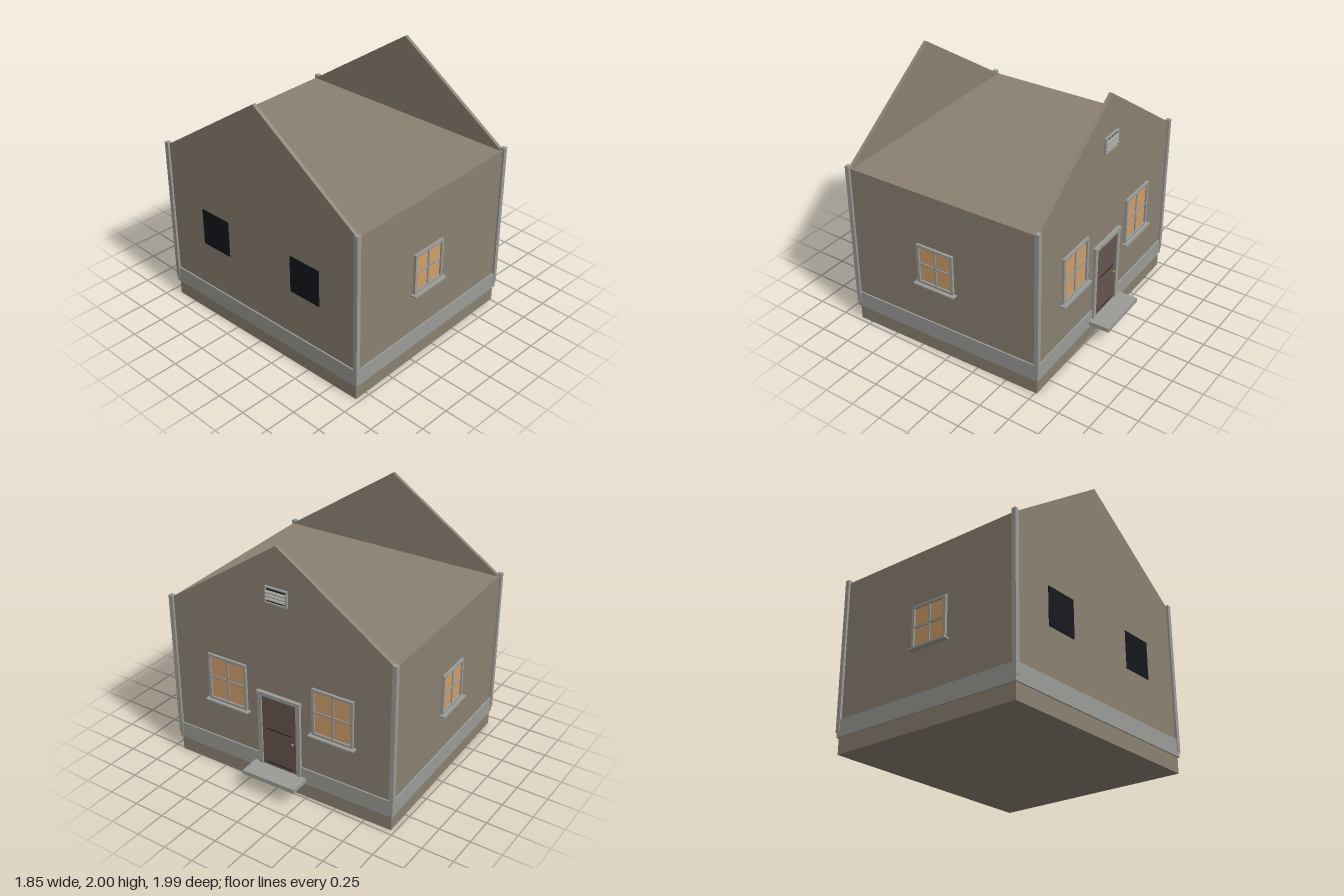
import * as THREE from 'three';

const mat = (name, color, extra = {}) => {
  const m = new THREE.MeshStandardMaterial({ color, ...extra });
  m.name = name;
  return m;
};

export function createModel() {
  const siding = mat('brown siding', 0x8b8172);
  const trim = mat('grey trim', 0x9b9b97);
  const glass = mat('warm glass', 0xcf9f6b);
  const doorBrown = mat('door brown', 0x65554d);
  const dark = mat('dark opening', 0x15171d);
  const brass = mat('brass', 0xc8963c);

  const W = 0.8075, D = 0.945, EAVE = 1.355, PEAK = 2;   // half width, half depth, heights

  const model = new THREE.Group();
  model.name = 'cottage';
  const house = new THREE.Group();
  house.name = 'house';
  house.position.x = -0.072;
  house.rotation.y = 0.0305;
  model.add(house);

  // Box given by its minimum and maximum corners
  const box = (parent, name, material, x0, x1, y0, y1, z0, z1) => {
    const mesh = new THREE.Mesh(new THREE.BoxGeometry(x1 - x0, y1 - y0, z1 - z0), material);
    mesh.position.set((x0 + x1) / 2, (y0 + y1) / 2, (z0 + z1) / 2);
    mesh.name = name;
    parent.add(mesh);
    return mesh;
  };

  // Group lying on a wall, with its own z pointing outwards
  const onWall = (name, x, z, turn) => {
    const g = new THREE.Group();
    g.name = name;
    g.position.set(x, 0, z);
    g.rotation.y = turn;
    house.add(g);
    return g;
  };

  // Rectangular frame of four bars
  const frame = (g, name, hw, y0, y1, t, depth) => {
    box(g, name + 'Left', trim, -hw, -hw + t, y0, y1, 0, depth);
    box(g, name + 'Right', trim, hw - t, hw, y0, y1, 0, depth);
    box(g, name + 'Top', trim, -hw + t, hw - t, y1 - t, y1, 0, depth);
    box(g, name + 'Bottom', trim, -hw + t, hw - t, y0, y0 + t, 0, depth);
  };

  // Body with flat ceiling
  box(house, 'walls', siding, -W, W, 0, EAVE, -D, D);

  // Gable walls standing above both ends
  const tri = new THREE.Shape([
    new THREE.Vector2(-D, EAVE), new THREE.Vector2(D, EAVE), new THREE.Vector2(0, PEAK),
  ]);
  const gableGeo = new THREE.ExtrudeGeometry(tri, { depth: 0.028, bevelEnabled: false });
  for (const s of [-1, 1]) {
    const gable = new THREE.Mesh(gableGeo, siding);
    gable.name = s > 0 ? 'leftGable' : 'rightGable';
    gable.rotation.y = Math.PI / 2;
    gable.position.x = s > 0 ? W - 0.028 : -W;
    house.add(gable);
  }

  // Skirting band and corner boards
  const B = 0.012;
  box(house, 'skirtBand', trim, -W - B, W + B, 0.125, 0.26, -D - B, D + B);
  for (const sx of [-1, 1]) for (const sz of [-1, 1]) {
    const x = sx * W, z = sz * D, h = 0.0175;
    box(house, 'cornerBoard', trim, x - h, x + h, 0.165, 1.377, z - h, z + h);
  }

  // Four-pane window with projecting sill
  const addWindow = (name, x, z, turn, hw, top) => {
    const g = onWall(name, x, z, turn);
    const y0 = 0.595, t = 0.022, mid = (y0 + top) / 2;
    box(g, 'pane', glass, -hw + t, hw - t, y0 + 0.015, top - t, 0, 0.006);
    frame(g, 'casing', hw, y0, top, t, 0.02);
    box(g, 'mullion', trim, -0.008, 0.008, y0 + t, top - t, 0, 0.014);
    box(g, 'crossbar', trim, -hw + t, hw - t, mid - 0.008, mid + 0.008, 0, 0.0135);
    box(g, 'sill', trim, -hw - 0.02, hw + 0.02, 0.585, 0.598, 0, 0.046);
  };
  const Q = Math.PI / 2;
  addWindow('doorSideWindowFront', W, 0.457, Q, 0.172, 0.985);
  addWindow('doorSideWindowBack', W, -0.457, Q, 0.172, 0.985);
  addWindow('frontWindow', -0.053, D, 0, 0.158, 0.928);
  addWindow('backWindow', -0.053, -D, Math.PI, 0.158, 0.928);

  // Plain dark openings on the far end
  for (const z of [-0.457, 0.457]) {
    const g = onWall('darkOpening', -W, z, -Q);
    box(g, 'darkPanel', dark, -0.139, 0.139, 0.635, 0.935, 0, 0.006);
  }

  // Door, surround and step
  const door = onWall('door', W, 0, Q);
  box(door, 'doorLeaf', doorBrown, -0.153, 0.153, 0.18, 0.787, 0, 0.014);
  for (const y of [0.205, 0.505])
    box(door, 'doorGroove', dark, -0.108, 0.108, y - 0.003, y + 0.003, 0.013, 0.016);
  for (const s of [-1, 1])
    box(door, 'doorJamb', trim, s * 0.167 - 0.017, s * 0.167 + 0.017, 0.14, 0.79, 0, 0.025);
  box(door, 'doorHeader', trim, -0.19, 0.19, 0.787, 0.817, 0, 0.03);
  const knob = new THREE.Mesh(new THREE.SphereGeometry(0.009, 12, 8), brass);
  knob.name = 'doorKnob';
  knob.position.set(0.117, 0.44, 0.02);
  door.add(knob);
  box(door, 'doorstep', trim, -0.228, 0.228, 0.145, 0.18, 0, 0.18);

  // Louvred vent in the gable
  const vent = onWall('gableVent', W, 0, Q);
  box(vent, 'ventOpening', dark, -0.085, 0.085, 1.565, 1.68, 0, 0.006);
  frame(vent, 'ventFrame', 0.093, 1.557, 1.687, 0.011, 0.018);
  for (let i = 1; i <= 3; i++) {
    const y = 1.568 + i * 0.027;
    const slat = box(vent, 'ventSlat', trim, -0.083, 0.083, y - 0.003, y + 0.003, 0.003, 0.027);
    slat.rotation.x = 0.4;
  }
  return model;
}
